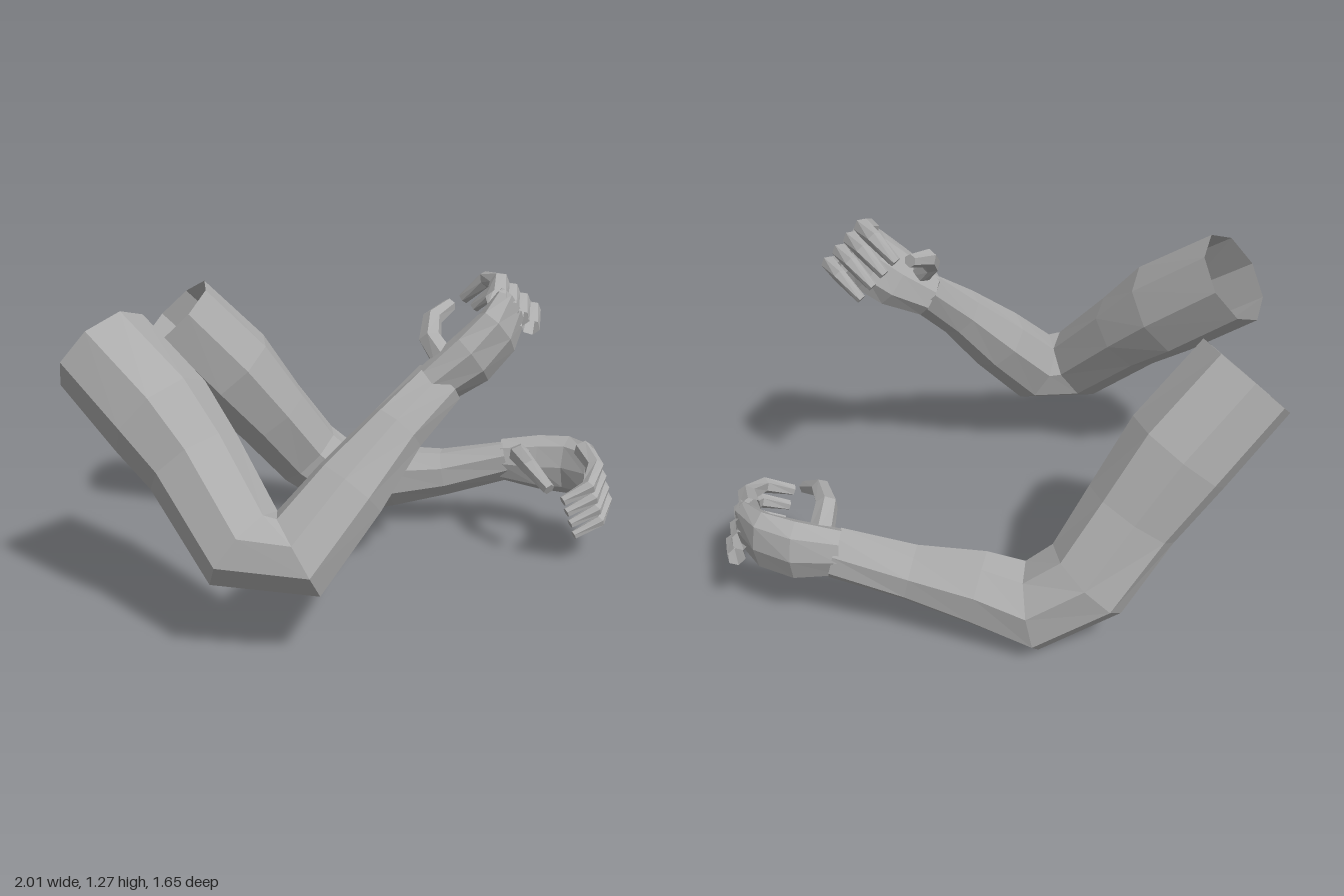
import * as THREE from 'three';

const V = (p) => new THREE.Vector3(...p);

// Skin elliptical rings along a path. sizes: [half size towards ref, half size sideways] per point.
function loft(path, sizes, ref, sides, capEnd) {
  const pos = [], idx = [], last = path.length - 1;
  path.forEach((c, i) => {
    const d = path[Math.min(i + 1, last)].clone().sub(path[Math.max(i - 1, 0)]).normalize();
    const a = ref.clone().addScaledVector(d, -ref.dot(d)).normalize();
    const b = d.clone().cross(a);
    for (let j = 0; j < sides; j++) {
      const t = (j / sides) * Math.PI * 2;
      const p = c.clone()
        .addScaledVector(a, Math.cos(t) * sizes[i][0])
        .addScaledVector(b, Math.sin(t) * sizes[i][1]);
      pos.push(p.x, p.y, p.z);
    }
  });
  for (let i = 0; i < last; i++) {
    for (let j = 0; j < sides; j++) {
      const p = i * sides + j, q = i * sides + (j + 1) % sides;
      idx.push(p, q, q + sides, p, q + sides, p + sides);
    }
  }
  if (capEnd) {
    const s = last * sides;
    for (let j = 1; j < sides - 1; j++) idx.push(s, s + j, s + j + 1);
  }
  const g = new THREE.BufferGeometry();
  g.setAttribute('position', new THREE.Float32BufferAttribute(pos, 3));
  g.setIndex(idx);
  g.computeVertexNormals();
  return g;
}

// Thickness from shoulder to wrist, shared by both arms
const ARM_SIZES = [
  [0.195, 0.187], [0.2, 0.2], [0.178, 0.168], [0.17, 0.15],
  [0.165, 0.147], [0.137, 0.133], [0.103, 0.1], [0.093, 0.07],
];

// Hand shape measured from the wrist: forward, towards the index side, towards the palm
const PALM = [[-0.03, 0, 0], [0.135, 0.015, 0.005], [0.26, 0.035, 0.04], [0.355, 0.045, 0.125]];
const PALM_SIZES = [[0.092, 0.068], [0.122, 0.078], [0.127, 0.063], [0.118, 0.04]];
const THUMB = [[0.05, 0.045, 0.03], [0.05, 0.09, 0.17], [0.1, 0.085, 0.29], [0.19, 0.035, 0.38]];
const INDEX = [[0.31, 0.135, 0.1], [0.365, 0.11, 0.23], [0.345, 0.065, 0.36], [0.25, 0.005, 0.41]];
const FINGER_STEP = [0.023, -0.055, -0.022];

// Centre lines from shoulder to wrist, and the direction of each hand
const FRONT_ARM = {
  name: 'frontArm',
  path: [
    [-0.855, 1, 0.34], [-0.6, 0.8, 0.46], [-0.46, 0.66, 0.53], [-0.245, 0.415, 0.68],
    [-0.06, 0.4, 0.67], [0.095, 0.6, 0.53], [0.24, 0.785, 0.4], [0.37, 0.925, 0.28],
  ],
  forward: [0.81, 0.49, -0.33], up: [-0.22, 0.77, 0.6], mirror: -1, curl: 0.68,
};
const REAR_ARM = {
  name: 'rearArm',
  path: [
    [-0.835, 0.97, -0.41], [-0.62, 0.72, -0.51], [-0.47, 0.505, -0.585], [-0.325, 0.29, -0.68],
    [-0.135, 0.165, -0.69], [0.06, 0.215, -0.665], [0.3, 0.255, -0.65], [0.57, 0.325, -0.65],
  ],
  forward: [0.99, -0.1, 0], up: [0.1, 0.99, 0], mirror: 1, curl: 1,
};

function buildArm({ name, path, forward, up, mirror, curl }, material) {
  const group = new THREE.Group();
  group.name = name;
  const add = (part, geometry) => {
    const mesh = new THREE.Mesh(geometry, material);
    mesh.name = part;
    group.add(mesh);
  };

  // Upper arm and forearm, open at the shoulder; rings face the inside of the elbow
  const line = path.map(V);
  const wrist = line[7];
  const bend = line[0].clone().add(wrist).sub(line[3]).sub(line[4]);
  add('upperArmAndForearm', loft(line, ARM_SIZES, bend, 8, false));

  // Hand
  const f = V(forward), u = V(up);
  const inward = f.clone().cross(u).multiplyScalar(mirror * curl);
  const place = (p) => wrist.clone()
    .addScaledVector(f, p[0]).addScaledVector(u, p[1]).addScaledVector(inward, p[2]);
  add('palm', loft(PALM.map(place), PALM_SIZES, u, 8, true));

  // Curled digits, thinner towards the tips
  const digit = (points, r) => {
    const sizes = [1.15, 1, 0.85, 0.6].map((k) => [r * k, r * k]);
    return loft(points.map(place), sizes, u, 6, true);
  };
  add('thumb', digit(THUMB, 0.042));
  ['indexFinger', 'middleFinger', 'ringFinger', 'littleFinger'].forEach((part, i) => {
    const points = INDEX.map((p) => p.map((v, k) => v + FINGER_STEP[k] * i));
    add(part, digit(points, 0.036 - 0.002 * i));
  });
  return group;
}

export function createModel() {
  const skinGrey = new THREE.MeshStandardMaterial({ color: 0xacacac, flatShading: true, side: THREE.DoubleSide });
  skinGrey.name = 'skinGrey';

  const model = new THREE.Group();
  model.name = 'pairOfArms';
  model.add(buildArm(FRONT_ARM, skinGrey), buildArm(REAR_ARM, skinGrey));
  return model;
}
